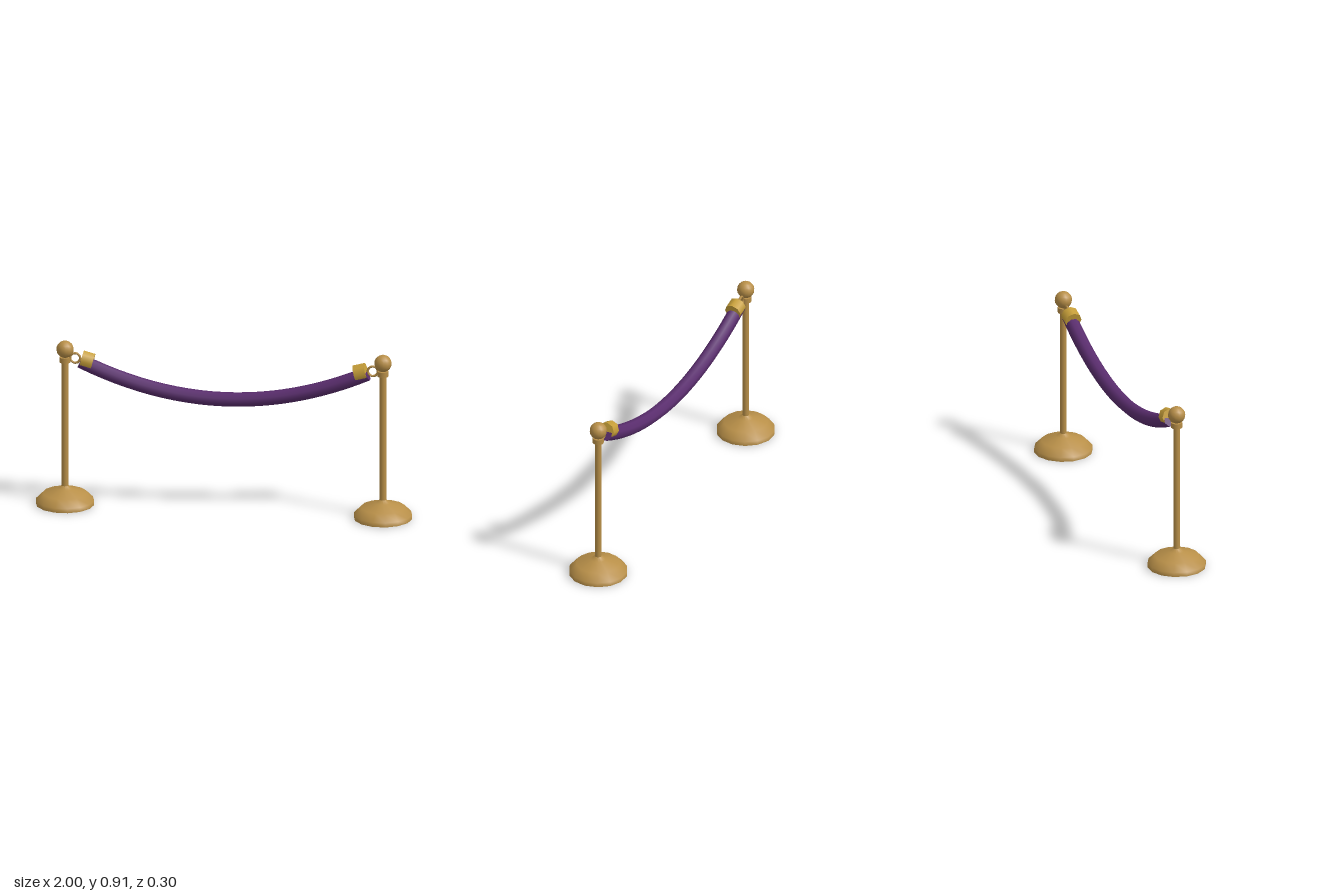
import * as THREE from 'three';

const brass = new THREE.MeshStandardMaterial({ color: 0xb88f48 });
const gold = new THREE.MeshStandardMaterial({ color: 0xc8a03a });
const velvet = new THREE.MeshStandardMaterial({ color: 0x5a2d6e });

const POST_X = 0.845;
const ROPE_END = 0.762;
const ROPE_LOW = 0.622;
const ROPE_SAG = 0.178;

function add(parent, name, geometry, material, x = 0, y = 0, z = 0) {
  const mesh = new THREE.Mesh(geometry, material);
  mesh.name = name;
  mesh.position.set(x, y, z);
  parent.add(mesh);
  return mesh;
}

// Stanchion: domed foot, slim pole, collar and ball
function createStanchion() {
  const post = new THREE.Group();
  const profile = [[0.155, 0], [0.155, 0.024], [0.117, 0.062], [0.04, 0.085], [0.018, 0.103]]
    .map(([r, y]) => new THREE.Vector2(r, y));
  add(post, 'base', new THREE.LatheGeometry(profile, 14).rotateY(Math.PI / 2), brass);
  add(post, 'baseUnderside', new THREE.CircleGeometry(0.155, 14).rotateX(Math.PI / 2), brass);
  add(post, 'pole', new THREE.CylinderGeometry(0.018, 0.018, 0.7, 12), brass, 0, 0.45);
  add(post, 'collar', new THREE.CylinderGeometry(0.03, 0.03, 0.028, 12), brass, 0, 0.804);
  add(post, 'ball', new THREE.SphereGeometry(0.046, 14, 10), brass, 0, 0.861);
  return post;
}

// Rope: an eight-sided bar bent along a sagging curve
function createRopeGeometry() {
  const geometry = new THREE.CylinderGeometry(0.038, 0.038, 2, 8, 24);
  geometry.rotateY(Math.PI / 8).rotateZ(-Math.PI / 2);
  const { position, normal } = geometry.attributes;
  for (let i = 0; i < position.count; i++) {
    const t = position.getX(i);
    const angle = Math.atan(2 * ROPE_SAG * t / ROPE_END);
    const c = Math.cos(angle), s = Math.sin(angle);
    const h = position.getY(i);
    position.setX(i, t * ROPE_END - h * s);
    position.setY(i, ROPE_LOW + ROPE_SAG * t * t + h * c);
    const nx = normal.getX(i), ny = normal.getY(i);
    normal.setX(i, nx * c - ny * s);
    normal.setY(i, nx * s + ny * c);
  }
  return geometry;
}

export function createModel() {
  const model = new THREE.Group();
  model.name = 'ropeBarrier';

  for (const side of [-1, 1]) {
    const label = side < 0 ? 'right' : 'left';
    const post = createStanchion();
    post.name = label + 'Stanchion';
    post.position.x = side * POST_X;
    model.add(post);

    // Ferrule clamped on the rope end
    const cap = add(model, label + 'RopeCap',
      new THREE.CylinderGeometry(0.046, 0.046, 0.062, 8).rotateZ(Math.PI / 2),
      gold, side * 0.726, 0.806);
    cap.rotation.z = side * 0.26;

    // Hook ring joining the ferrule to the collar
    add(model, label + 'Hook', new THREE.TorusGeometry(0.027, 0.0065, 6, 12),
      brass, side * 0.791, 0.815);
  }

  add(model, 'rope', createRopeGeometry(), velvet);
  return model;
}
